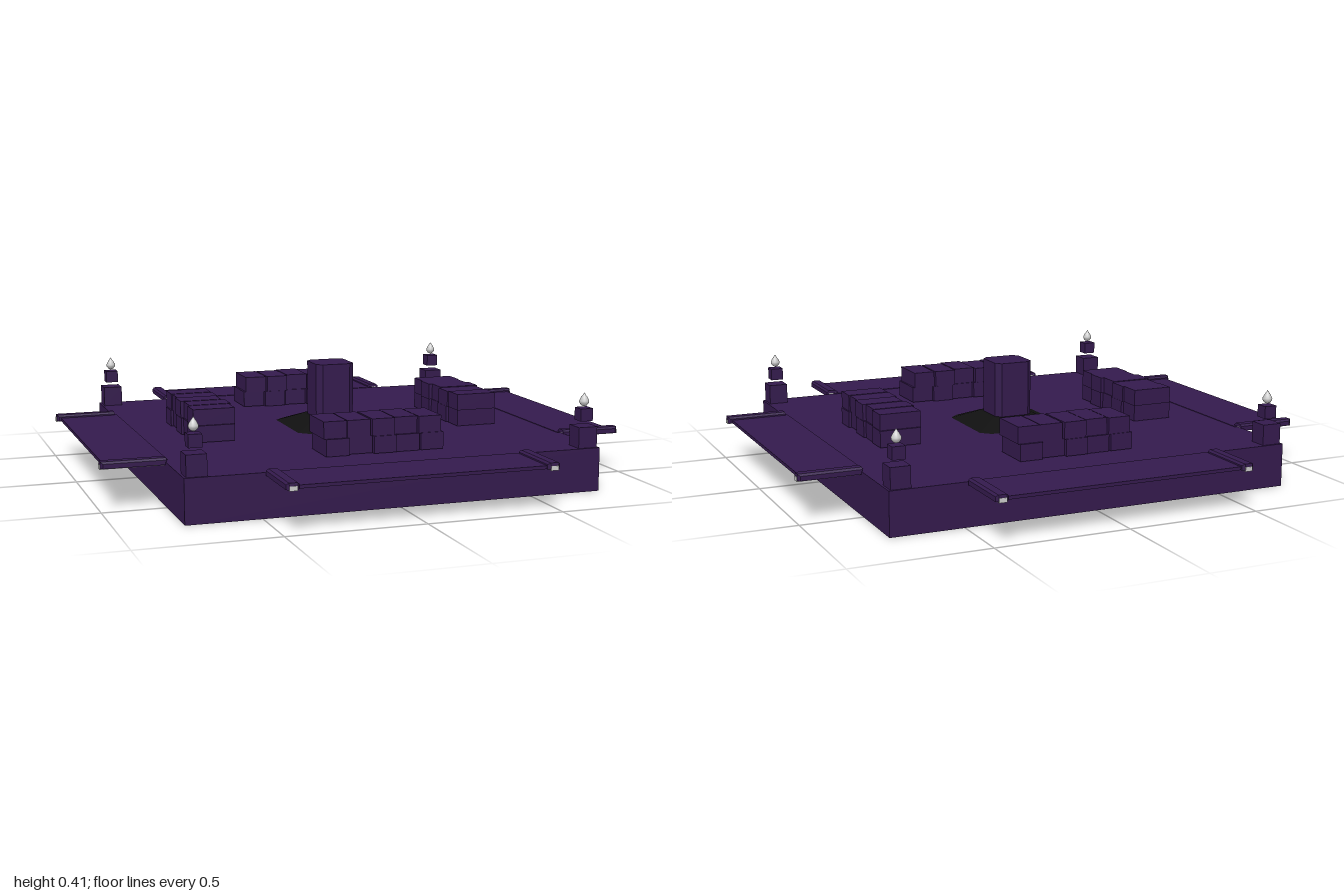
import * as THREE from 'three';

const plum = new THREE.MeshStandardMaterial({ color: 0x341a4d, flatShading: true });
const black = new THREE.MeshStandardMaterial({ color: 0x101010, flatShading: true });
const grey = new THREE.MeshStandardMaterial({ color: 0xcccccc });

function add(parent, name, geometry, material, x = 0, y = 0, z = 0) {
  const mesh = new THREE.Mesh(geometry, material);
  mesh.name = name;
  mesh.position.set(x, y, z);
  parent.add(mesh);
  return mesh;
}

function box(parent, name, w, h, d, x, y, z, material = plum) {
  return add(parent, name, new THREE.BoxGeometry(w, h, d), material, x, y, z);
}

function shapeOf(points) {
  return new THREE.Shape(points.map(([x, y]) => new THREE.Vector2(x, y)));
}

// Upright prism on a square with cut corners; the top may be narrower
function cutSquare(half, cut, height, topScale = 1) {
  const k = half - cut;
  const shape = shapeOf([[half, -k], [half, k], [k, half], [-k, half],
    [-half, k], [-half, -k], [-k, -half], [k, -half]]);
  const geo = new THREE.ExtrudeGeometry(shape, { depth: height, bevelEnabled: false });
  const p = geo.attributes.position;
  for (let i = 0; i < p.count; i++) {
    if (p.getZ(i) > height / 2) p.setXY(i, p.getX(i) * topScale, p.getY(i) * topScale);
  }
  geo.rotateX(-Math.PI / 2);
  geo.computeVertexNormals();
  return geo;
}

// Thin platform on one side with a capped rail along each edge, built towards +z
function makeBridge() {
  const bridge = new THREE.Group();
  bridge.name = 'sideBridge';
  box(bridge, 'bridgeDeck', 0.92, 0.012, 0.225, 0, 0.156, 0.868);
  const channel = shapeOf([[-0.023, 0.15], [-0.014, 0.15], [-0.014, 0.163], [0.014, 0.163],
    [0.014, 0.15], [0.023, 0.15], [0.023, 0.167], [0.015, 0.174], [-0.015, 0.174], [-0.023, 0.167]]);
  const capGeo = new THREE.ExtrudeGeometry(channel, { depth: 0.23, bevelEnabled: false });
  // taper the outer tip of the cap
  const p = capGeo.attributes.position;
  for (let i = 0; i < p.count; i++) if (p.getZ(i) > 0.1) {
    p.setZ(i, 0.23 - Math.max(0, Math.abs(p.getX(i)) - 0.014));
  }
  capGeo.computeVertexNormals();
  for (const s of [-1, 1]) {
    add(bridge, 'railCap', capGeo, plum, s * 0.467, 0, 0.766);
    box(bridge, 'railCore', 0.028, 0.016, 0.23, s * 0.467, 0.155, 0.883, grey);
  }
  return bridge;
}

// Two stacked courses of five slightly uneven blocks
function makeBench() {
  const bench = new THREE.Group();
  bench.name = 'blockBench';
  const shift = [[0.004, -0.005, 0.006, -0.002, 0.005], [0, -0.004, 0.006, -0.006, 0.002]];
  for (let row = 0; row < 2; row++) {
    for (let i = 0; i < 5; i++) {
      const x = -0.185 + i * 0.0895 + (row ? -0.002 : 0.006);
      const lift = ((i * 2 + row) % 3) * 0.001;
      box(bench, row ? 'upperBlock' : 'lowerBlock', 0.086, 0.062, 0.158,
        x, 0.193 + row * 0.062 + lift, 0.521 + shift[row][i]);
    }
  }
  return bench;
}

// Stepped post with a small floating cube and a teardrop flame
function makePost() {
  const post = new THREE.Group();
  post.name = 'cornerPost';
  box(post, 'postBase', 0.073, 0.077, 0.073, 0, 0.198, 0);
  box(post, 'postCube', 0.048, 0.046, 0.048, 0, 0.279, 0);
  const profile = [[0, 0.307], [0.01, 0.311], [0.017, 0.32], [0.018, 0.328],
    [0.012, 0.34], [0.005, 0.35], [0, 0.358]].map(([r, y]) => new THREE.Vector2(r, y));
  add(post, 'flame', new THREE.LatheGeometry(profile, 16), grey);
  return post;
}

export function createModel() {
  const model = new THREE.Group();
  model.name = 'squareArena';
  box(model, 'base', 1.54, 0.16, 1.52, 0, 0.08, 0);

  // Central plinth and column
  add(model, 'plinth', cutSquare(0.177, 0.035, 0.036, 0.5), black, 0, 0.16, 0);
  add(model, 'column', cutSquare(0.075, 0.02, 0.245), plum, 0, 0.16, 0);

  // Four matching sides
  for (let i = 0; i < 4; i++) {
    const side = new THREE.Group();
    side.name = 'arenaSide';
    side.rotation.y = i * Math.PI / 2;
    side.add(makeBridge(), makeBench());
    model.add(side);
  }

  // Four corner posts
  for (const sx of [-1, 1]) for (const sz of [-1, 1]) {
    const post = makePost();
    post.position.set(sx * 0.725, 0, sz * 0.716);
    model.add(post);
  }
  return model;
}
